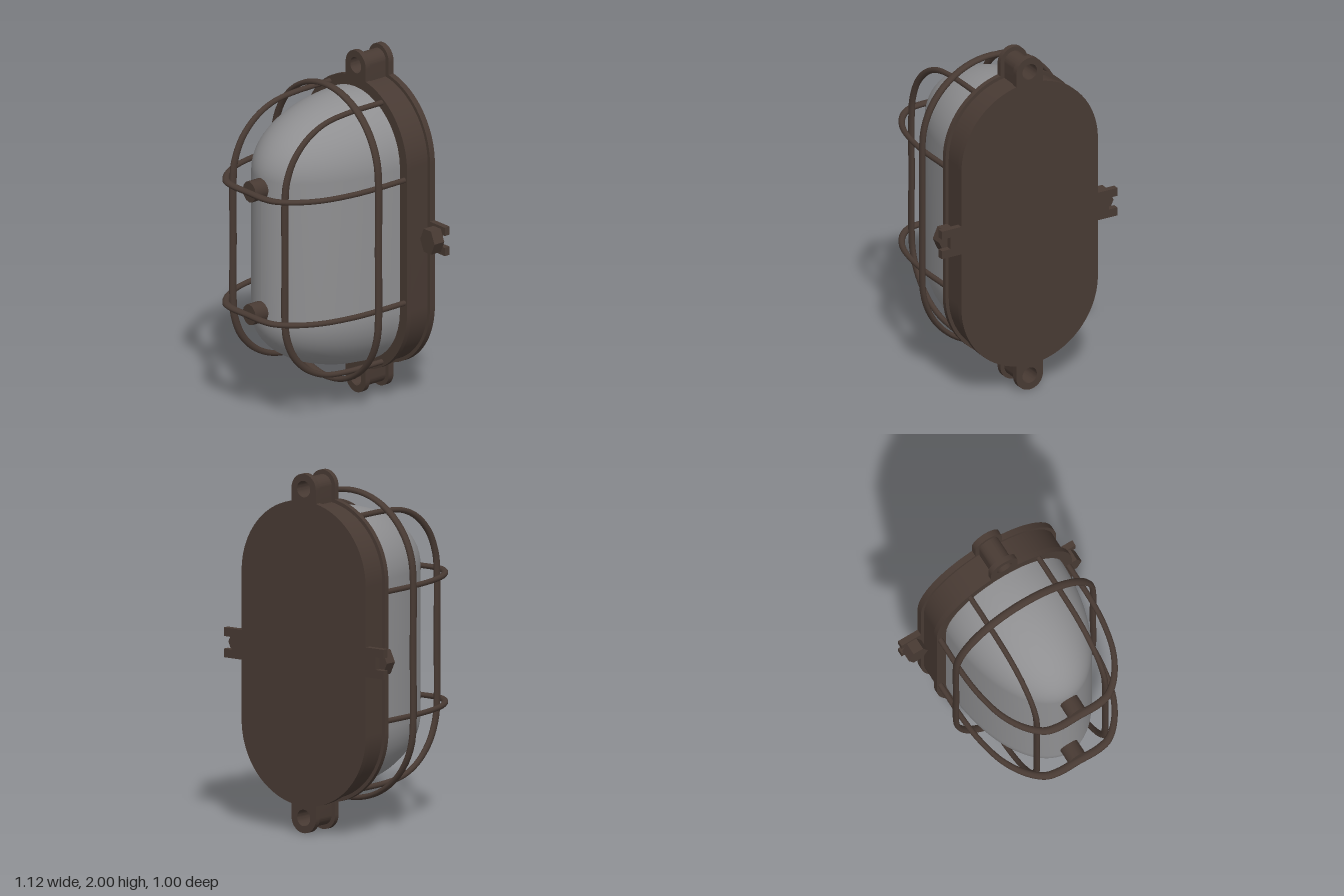
import * as THREE from 'three';
import { toCreasedNormals } from 'three/addons/utils/BufferGeometryUtils.js';

const CAP = 0.415;      // half length of the straight sides
const BAR = 0.0155;     // cage wire radius
const DEEP = 1.5;       // wires are thicker in depth than in width

export function createModel() {
  const iron = new THREE.MeshStandardMaterial({ color: 0x483a33 });
  iron.name = 'dark bronze';
  const frosted = new THREE.MeshStandardMaterial({ color: 0x8f8f91 });
  frosted.name = 'frosted grey';

  const model = new THREE.Group();
  model.name = 'bulkheadLamp';
  const lamp = new THREE.Group();
  lamp.name = 'lamp';
  lamp.position.y = 1;
  model.add(lamp);

  const add = (name, geometry, material = iron) => {
    const mesh = new THREE.Mesh(geometry, material);
    mesh.name = name;
    lamp.add(mesh);
    return mesh;
  };

  const slab = (shape, z0, z1) => {
    const g = new THREE.ExtrudeGeometry(shape, { depth: z1 - z0, bevelEnabled: false, curveSegments: 24 });
    g.translate(0, 0, z0);
    return toCreasedNormals(g, 0.5);
  };

  // Rounded oblong with a pierced ear at the top and the bottom
  const housingShape = (r, ear) => {
    const s = new THREE.Shape();
    const a = Math.acos(ear / r);
    const earY = 0.915;
    s.moveTo(r, -CAP);
    s.lineTo(r, CAP);
    s.absarc(0, CAP, r, 0, a, false);
    s.lineTo(ear, earY);
    s.absarc(0, earY, ear, 0, Math.PI, false);
    s.absarc(0, CAP, r, Math.PI - a, Math.PI, false);
    s.lineTo(-r, -CAP);
    s.absarc(0, -CAP, r, Math.PI, Math.PI + a, false);
    s.lineTo(-ear, -earY);
    s.absarc(0, -earY, ear, Math.PI, 2 * Math.PI, false);
    s.absarc(0, -CAP, r, 2 * Math.PI - a, 2 * Math.PI, false);
    for (const side of [-1, 1]) {
      const hole = new THREE.Path();
      hole.absarc(0, side * earY, 0.046, 0, 2 * Math.PI, true);
      s.holes.push(hole);
    }
    return s;
  };
  add('backPlate', slab(housingShape(0.435, 0.085), -0.5, -0.465));
  add('housing', slab(housingShape(0.415, 0.06), -0.465, -0.33));
  add('frontFlange', slab(housingShape(0.435, 0.085), -0.33, -0.3));

  // Slotted side tabs with hexagonal bolts
  for (const side of [-1, 1]) {
    const tab = new THREE.Shape([
      [0.4, -0.083], [0.56, -0.083], [0.56, -0.035], [0.505, -0.035],
      [0.505, 0.035], [0.56, 0.035], [0.56, 0.083], [0.4, 0.083],
    ].map(([x, y]) => new THREE.Vector2(x * side, y)));
    add('sideTab', slab(tab, -0.5, -0.465));
    const hex = new THREE.CylinderGeometry(0.061, 0.061, 0.07, 6);
    hex.rotateY(Math.PI / 2);
    hex.rotateX(Math.PI / 2);
    hex.scale(1, 1.28, 1);
    hex.translate(side * 0.495, 0, -0.43);
    add('tabBolt', toCreasedNormals(hex, 0.5));
  }

  // Domed cover: oblong rings shrinking along an elliptical profile
  const rings = 24, half = 20, count = 2 * (half + 1);
  const pos = [], index = [];
  for (let i = 0; i <= rings; i++) {
    const t = (i / rings) * Math.PI / 2;
    const r = Math.max(0.375 * Math.cos(t), 0.0005);
    const z = -0.3 + 0.68 * Math.sin(t);
    for (let j = 0; j < count; j++) {
      const upper = j <= half;
      const a = ((upper ? j : j - 1) / half) * Math.PI;
      pos.push(r * Math.cos(a), (upper ? CAP : -CAP) + r * Math.sin(a), z);
      if (i < rings) {
        const k = (j + 1) % count;
        const p = i * count + j, q = i * count + k;
        index.push(p, q, q + count, p, q + count, p + count);
      }
    }
  }
  const dome = new THREE.BufferGeometry();
  dome.setAttribute('position', new THREE.Float32BufferAttribute(pos, 3));
  dome.setIndex(index);
  dome.computeVertexNormals();
  add('domeCover', dome, frosted);

  // Cage wires
  const wire = (name, points, closed = false) => {
    const path = new THREE.CatmullRomCurve3(
      points.map(([x, y, z]) => new THREE.Vector3(x, y, z / DEEP)), closed, 'centripetal');
    const g = new THREE.TubeGeometry(path, 100, BAR, 10, closed);
    g.scale(1, 1, DEEP);
    return add(name, g);
  };
  const mirrored = (pts) => [...pts, ...pts.slice(0, -1).reverse().map(([u, z]) => [-u, z])];

  const upright = mirrored([[0.76, -0.31], [0.757, -0.05], [0.738, 0.1], [0.685, 0.22],
    [0.585, 0.325], [0.46, 0.382], [0.36, 0.394], [0, 0.394]]);
  const cross = mirrored([[0.412, -0.31], [0.412, -0.05], [0.397, 0.1], [0.36, 0.25],
    [0.295, 0.37], [0.21, 0.451], [0.13, 0.473], [0, 0.473]]);
  for (const side of [-1, 1]) {
    wire('uprightWire', upright.map(([y, z]) => [side * 0.22, y, z]));
    wire('crossWire', cross.map(([x, z]) => [x, side * 0.36, z]));

    // Stud joining the dome to the cross wire
    const stud = new THREE.CylinderGeometry(0.055, 0.055, 0.13, 12);
    stud.rotateX(Math.PI / 2);
    stud.scale(1, 1.1, 1);
    stud.translate(0, side * 0.36, 0.4);
    add('coverStud', toCreasedNormals(stud, 0.6));
  }

  // Hoop running around the cage
  const hoop = [];
  for (const side of [0, 1]) {
    for (let j = 0; j <= 16; j++) {
      const a = (side + j / 16) * Math.PI;
      hoop.push([0.44 * Math.cos(a), (side ? -CAP : CAP) + 0.44 * Math.sin(a), -0.09]);
    }
    hoop.push([side ? 0.44 : -0.44, 0, -0.09]);
  }
  wire('cageHoop', hoop, true);

  return model;
}
